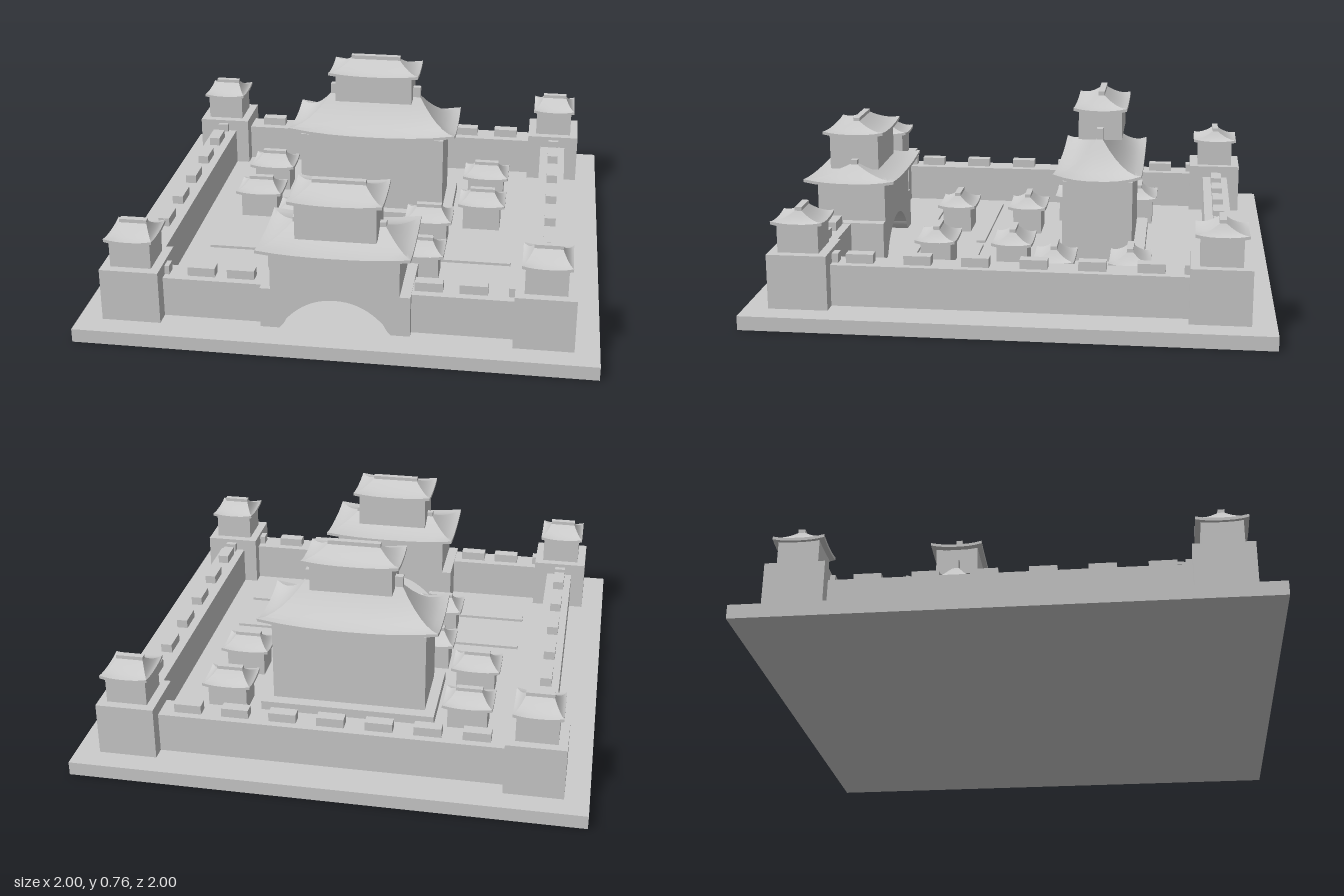
import * as THREE from 'three';
import { toCreasedNormals } from 'three/addons/utils/BufferGeometryUtils.js';

const stone = new THREE.MeshStandardMaterial({ color: 0xcccccc });
stone.name = 'pale stone';

function add(parent, name, geometry) {
  const mesh = new THREE.Mesh(geometry, stone);
  mesh.name = name;
  parent.add(mesh);
  return mesh;
}

// Box from width, depth, bottom and top, centred on x, z
function block(parent, name, w, d, y0, y1, x = 0, z = 0) {
  add(parent, name, new THREE.BoxGeometry(w, y1 - y0, d)).position.set(x, (y0 + y1) / 2, z);
}

// Concave hipped roof with upturned corners and a ridge beam
function roof(parent, name, { w, d, y, top, ridge, lift, x = 0, z = 0, power = 1.6 }) {
  const SIDE = 8, LEVELS = 6, thick = 0.012, beam = 0.026, beamH = (top - y) * 0.25;
  const corners = [[1, 1], [1, -1], [-1, -1], [-1, 1]];
  const n = SIDE * 4, pos = [], index = [];
  const ring = (rw, rd, ry, up) => {
    for (let c = 0; c < 4; c++) {
      const a = corners[c], b = corners[(c + 1) % 4];
      for (let i = 0; i < SIDE; i++) {
        const t = i / SIDE, k = Math.abs(2 * t - 1) ** 2.5;
        pos.push((a[0] + (b[0] - a[0]) * t) * rw / 2, ry + up * k, (a[1] + (b[1] - a[1]) * t) * rd / 2);
      }
    }
  };
  ring(w * 0.72, d * 0.68, y - thick, 0);
  ring(w, d, y - thick, lift);
  for (let l = 0; l <= LEVELS; l++) {
    const s = l / LEVELS;
    ring(w + (ridge - w) * s, d + (beam - d) * s, y + (top - beamH - y) * s ** power, lift * (1 - s) ** 2);
  }
  for (let r = 0; r < LEVELS + 2; r++) {
    for (let i = 0; i < n; i++) {
      const a = r * n + i, b = r * n + (i + 1) % n;
      index.push(a, b, b + n, a, b + n, a + n);
    }
  }
  const g = new THREE.BufferGeometry();
  g.setAttribute('position', new THREE.Float32BufferAttribute(pos, 3));
  g.setIndex(index);
  add(parent, name, toCreasedNormals(g, 0.4)).position.set(x, 0, z);
  block(parent, name + 'Ridge', ridge, beam, top - beamH * 1.5, top, x, z);
}

// Small pavilion used for houses and tower tops
function pavilion(parent, name, x, z, y, w, d) {
  const g = new THREE.Group();
  g.name = name;
  g.position.set(x, y, z);
  block(g, 'pavilionWalls', 0.16, d - 0.04, 0, 0.108);
  roof(g, 'pavilionRoof', { w, d, y: 0.115, top: 0.172, ridge: 0.107, lift: 0.01 });
  parent.add(g);
}

export function createModel() {
  const model = new THREE.Group();
  model.name = 'walledPalace';
  const G = 0.055, WALL = 0.217, E = 0.79;

  block(model, 'ground', 2, 2, 0, G);

  // Enclosing walls
  block(model, 'backWall', 1.4, 0.112, G, WALL, 0, -0.795);
  for (const s of [-1, 1]) {
    block(model, 'sideWall', 0.112, 1.4, G, WALL, s * E, 0);
    block(model, 'frontWall', 0.42, 0.112, G, WALL, s * 0.485, 0.787);
  }

  // Battlements
  for (let i = -3; i <= 3; i++) block(model, 'merlon', 0.107, 0.046, WALL, 0.253, i * 0.188, -0.798);
  for (const x of [-0.71, -0.53, -0.375, 0.35, 0.52, 0.705]) {
    block(model, 'merlon', 0.107, 0.046, WALL, 0.253, x, 0.788);
  }
  for (const s of [-1, 1]) {
    for (const z of [-0.71, -0.535, -0.315, -0.094, 0.127, 0.348, 0.57, 0.705]) {
      block(model, 'merlon', 0.046, 0.105, WALL, 0.253, s * 0.793, z);
    }
  }

  // Corner towers
  for (const sx of [-1, 1]) {
    for (const sz of [-1, 1]) {
      block(model, 'cornerTower', 0.23, 0.23, G, 0.268, sx * E, sz * 0.792);
      pavilion(model, 'towerPavilion', sx * E, sz * 0.792, 0.268, 0.188, 0.198);
    }
  }

  // Gatehouse base with a flared arched passage
  const gate = new THREE.Group();
  gate.name = 'gatehouse';
  model.add(gate);
  const gz = 0.735;
  const face = new THREE.Shape();
  face.moveTo(-0.288, G);
  face.lineTo(-0.215, G);
  face.quadraticCurveTo(-0.198, 0.07, -0.187, 0.096);
  face.bezierCurveTo(-0.14, 0.15, -0.08, 0.187, 0, 0.187);
  face.bezierCurveTo(0.08, 0.187, 0.14, 0.15, 0.187, 0.096);
  face.quadraticCurveTo(0.198, 0.07, 0.215, G);
  face.lineTo(0.288, G);
  face.lineTo(0.288, 0.22);
  face.lineTo(-0.288, 0.22);
  face.closePath();
  add(gate, 'gateArch', new THREE.ExtrudeGeometry(face, { depth: 0.284, bevelEnabled: false, curveSegments: 10 }))
    .position.z = gz - 0.142;
  block(gate, 'gateHall', 0.494, 0.284, 0.22, 0.378, 0, gz);
  roof(gate, 'gateLowerRoof', { w: 0.584, d: 0.38, y: 0.388, top: 0.465, ridge: 0.36, lift: 0.016, z: gz });
  block(gate, 'gateUpperRoom', 0.31, 0.206, 0.42, 0.566, 0, gz + 0.005);
  roof(gate, 'gateUpperRoof', { w: 0.358, d: 0.256, y: 0.572, top: 0.63, ridge: 0.205, lift: 0.012, z: gz + 0.004 });

  // Main hall on its plinth
  const hall = new THREE.Group();
  hall.name = 'mainHall';
  model.add(hall);
  const hz = -0.3;
  block(hall, 'hallPlinth', 0.716, 0.375, G, 0.097, 0, hz - 0.003);
  block(hall, 'hallWalls', 0.63, 0.284, 0.097, 0.432, 0, hz);
  roof(hall, 'hallLowerRoof', { w: 0.732, d: 0.356, y: 0.447, top: 0.628, ridge: 0.4, lift: 0.026, z: hz, power: 1.75 });
  block(hall, 'hallUpperRoom', 0.334, 0.178, 0.575, 0.694, 0, hz);
  roof(hall, 'hallUpperRoof', { w: 0.392, d: 0.218, y: 0.7, top: 0.765, ridge: 0.215, lift: 0.012, z: hz });

  // Courtyard houses
  for (const [x, z] of [[0.495, -0.445], [0.495, -0.145], [0.278, 0.045], [0.272, 0.362]]) {
    for (const s of [-1, 1]) pavilion(model, 'courtyardHouse', s * x, z, G, 0.202, 0.165);
  }

  // Low courtyard kerbs with a central gap
  for (const z of [0.23, 0.495]) {
    for (const s of [-1, 1]) block(model, 'courtyardKerb', 0.615, 0.04, G, 0.066, s * 0.333, z);
  }
  return model;
}
